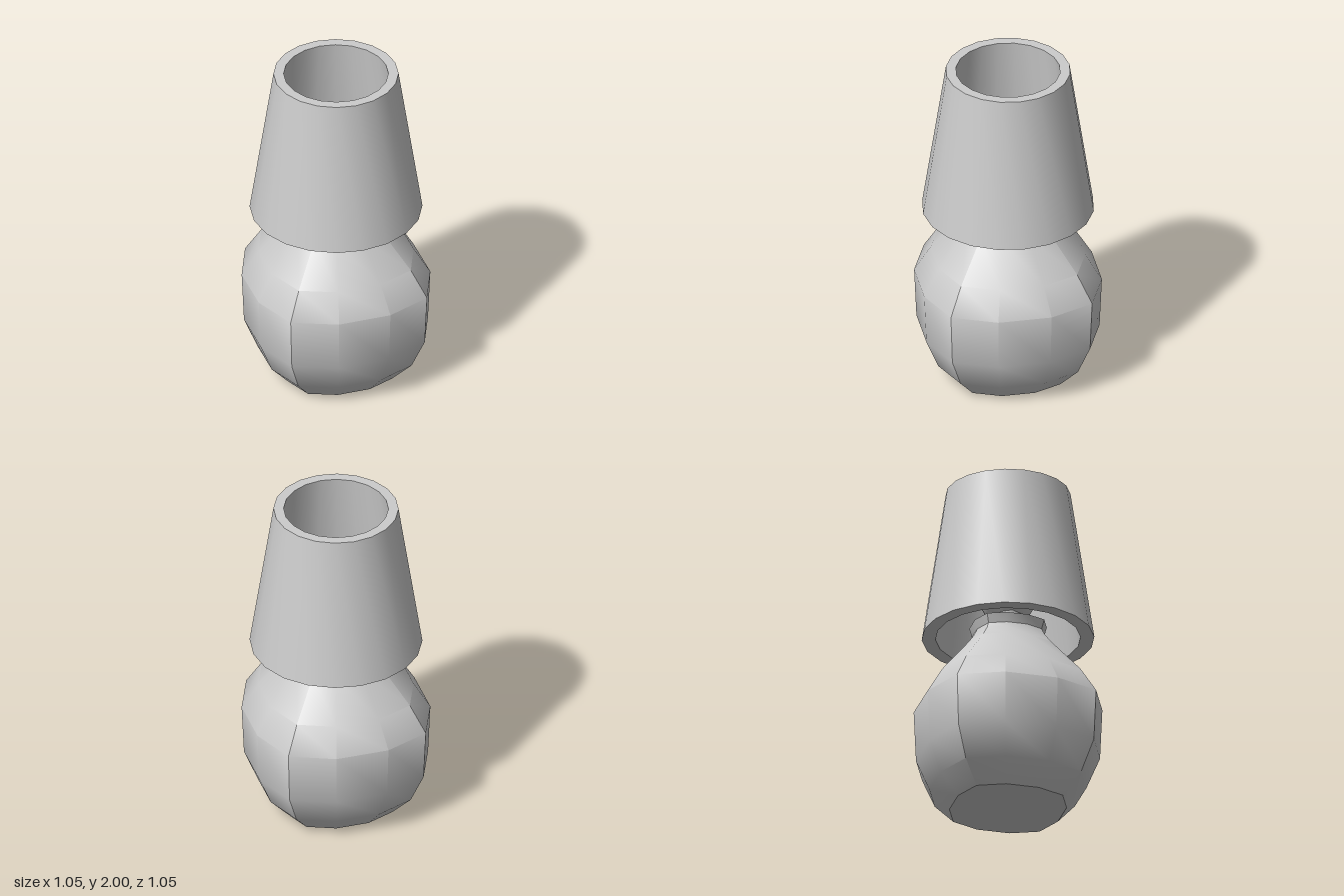
import * as THREE from 'three';
import { toCreasedNormals } from 'three/addons/utils/BufferGeometryUtils.js';

const material = new THREE.MeshStandardMaterial({ color: 0xcccccc });
const CREASE = 0.62;

function lathe(profile, segments) {
  return new THREE.LatheGeometry(profile.map(([r, y]) => new THREE.Vector2(r, y)), segments);
}

function part(name, geometry) {
  const mesh = new THREE.Mesh(geometry, material);
  mesh.name = name;
  return mesh;
}

// Vase-like body: a profile swept around a twelve-sided squarish section
function bodyGeometry() {
  const profile = [
    [0, 0], [0.325, 0], [0.435, 0.125], [0.51, 0.31], [0.523, 0.62], [0.43, 0.78],
    [0.255, 1.0], [0.215, 1.06], [0.2, 1.095], [0.215, 1.15], // shoulder, waist, collar
    [0.165, 1.17], [0.16, 1.12], [0, 1.12], // lip and socket
  ];
  const section = [];
  for (let q = 0; q < 4; q++) {
    for (const [x, z] of [[0.3, 1], [0.795, 0.795], [1, 0.3]]) {
      const v = new THREE.Vector2(x, z).rotateAround(new THREE.Vector2(), -q * Math.PI / 2);
      section.push(v);
    }
  }
  const geometry = lathe(profile, 12);
  const pos = geometry.attributes.position;
  for (let i = 0; i <= 12; i++) {
    profile.forEach(([r, y], j) => {
      const s = section[i % 12];
      pos.setXYZ(i * profile.length + j, r * s.x, y, r * s.y);
    });
  }
  return toCreasedNormals(geometry, CREASE);
}

// Bulb: a cube grid pushed out to a sphere, smooth all over
function bulbGeometry(radius) {
  const geometry = new THREE.BoxGeometry(2, 2, 2, 3, 3, 3);
  const pos = geometry.attributes.position;
  const v = new THREE.Vector3();
  for (let i = 0; i < pos.count; i++) {
    v.fromBufferAttribute(pos, i).setLength(radius);
    pos.setXYZ(i, v.x, v.y, v.z);
  }
  return toCreasedNormals(geometry, 1.0);
}

export function createModel() {
  const lamp = new THREE.Group();
  lamp.name = 'tableLamp';

  lamp.add(part('body', bodyGeometry()));

  // Thick open-ended tapered shade
  const shade = lathe([[0.5, 1.085], [0.362, 2], [0.303, 2], [0.42, 1.085], [0.5, 1.085]], 20);
  lamp.add(part('shade', toCreasedNormals(shade, CREASE)));

  const bulb = part('bulb', bulbGeometry(0.178));
  bulb.position.y = 1.36;
  lamp.add(bulb);

  const stem = part('bulbStem', new THREE.CylinderGeometry(0.1, 0.09, 0.16, 12));
  stem.position.y = 1.18;
  lamp.add(stem);

  return lamp;
}
